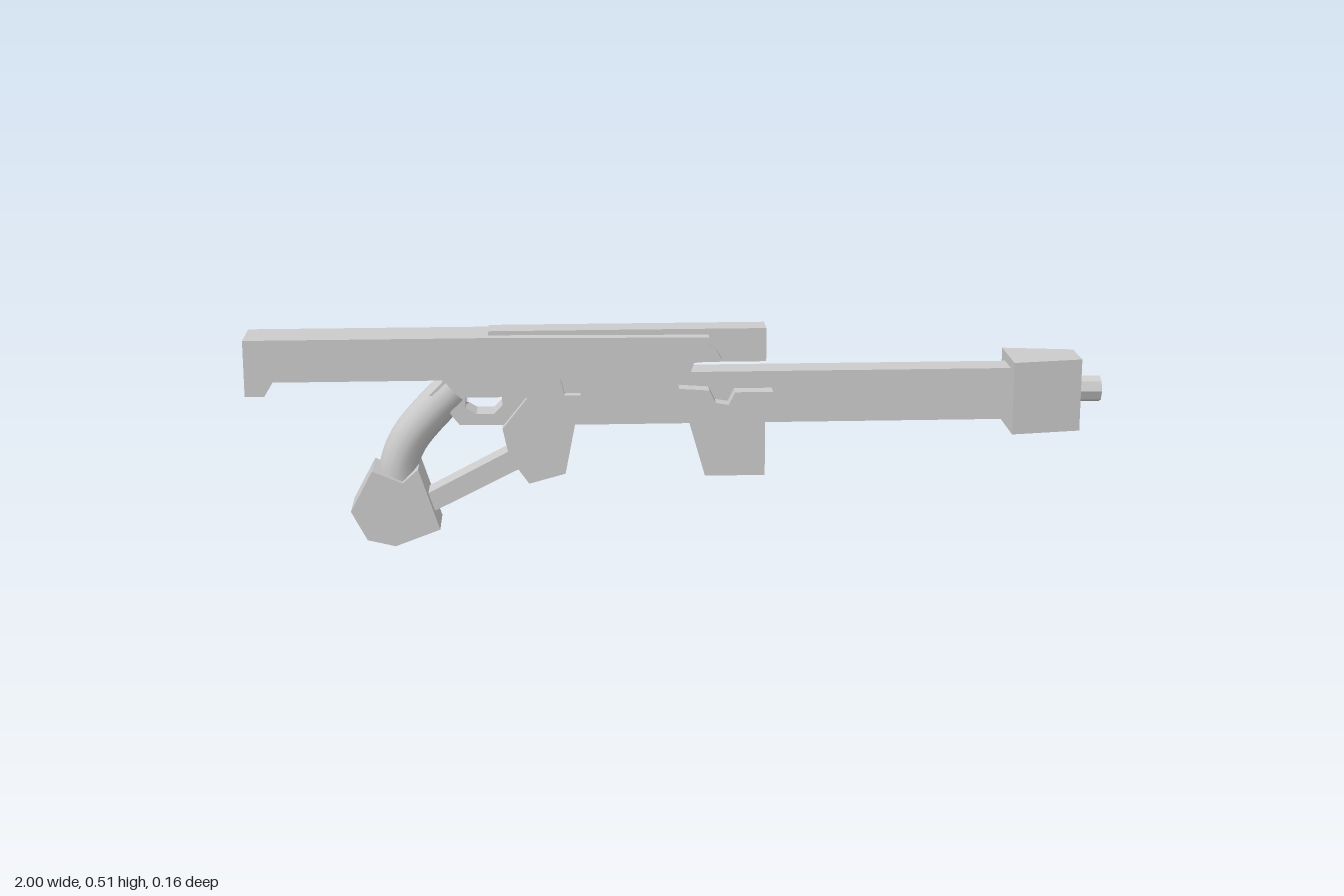
import * as THREE from 'three';

export function createModel() {
  const model = new THREE.Group();
  const flat = new THREE.MeshStandardMaterial({ color: 0xcccccc, flatShading: true });
  const smooth = new THREE.MeshStandardMaterial({ color: 0xcccccc });
  const open = new THREE.MeshStandardMaterial({ color: 0xcccccc, side: THREE.DoubleSide });

  const add = (name, geometry, material = flat) => {
    const mesh = new THREE.Mesh(geometry, material);
    mesh.name = name;
    model.add(mesh);
    return mesh;
  };
  const outline = (points) => points.map(([x, y]) => new THREE.Vector2(x, y));
  // Side profile extruded symmetrically across z
  const slab = (points, halfWidth, hole) => {
    const shape = new THREE.Shape(outline(points));
    if (hole) shape.holes.push(new THREE.Path(outline(hole)));
    const g = new THREE.ExtrudeGeometry(shape, { depth: halfWidth * 2, bevelEnabled: false });
    return g.translate(0, 0, -halfWidth);
  };
  const box = (x0, x1, y0, y1, halfWidth) =>
    new THREE.BoxGeometry(x1 - x0, y1 - y0, halfWidth * 2)
      .translate((x0 + x1) / 2, (y0 + y1) / 2, 0);

  // Shoulder stock with the butt hook
  add('stock', slab([
    [-1, 0.37], [-0.955, 0.37], [-0.935, 0.403], [-0.38, 0.403], [-0.38, 0.502], [-1, 0.502],
  ], 0.061));

  // Receiver housing with stepped lower edge and notched front
  add('receiver', slab([
    [-0.39, 0.36], [-0.345, 0.36], [-0.31, 0.39], [-0.27, 0.402], [-0.23, 0.38],
    [-0.02, 0.377], [0, 0.4], [0.025, 0.41], [0.035, 0.438], [0.1, 0.443],
    [0.09, 0.462], [0.07, 0.48], [0.07, 0.498], [-0.39, 0.502],
  ], 0.064));
  add('topRail', box(-0.44, 0.205, 0.433, 0.512, 0.034));

  // Barrel, tapered muzzle block and hollow tip
  add('barrel', box(-0.4, 0.79, 0.287, 0.41, 0.037));
  const muzzle = new THREE.ExtrudeGeometry(
    new THREE.Shape(outline([[0.78, -0.079], [0.945, -0.052], [0.945, 0.052], [0.78, 0.079]])),
    { depth: 0.172, bevelEnabled: false });
  add('muzzle', muzzle.rotateX(-Math.PI / 2).translate(0, 0.26, 0));
  const tip = new THREE.LatheGeometry(
    outline([[0.031, 0], [0.031, 0.06], [0.026, 0.06], [0.026, 0.005], [0, 0.005]]), 8);
  add('muzzleTip', tip.rotateZ(-Math.PI / 2).translate(0.94, 0.349, 0),
    new THREE.MeshStandardMaterial({ color: 0xcccccc, flatShading: true, side: THREE.DoubleSide }));

  // Foregrip block under the barrel
  add('foregrip', slab([
    [0, 0.38], [0.06, 0.17], [0.2, 0.17], [0.2, 0.337], [0.218, 0.37],
    [0.13, 0.37], [0.115, 0.34], [0.085, 0.345], [0.07, 0.375],
  ], 0.077));

  // Magazine housing
  add('magazine', slab([
    [-0.41, 0.285], [-0.395, 0.215], [-0.35, 0.152], [-0.265, 0.175],
    [-0.228, 0.363], [-0.265, 0.363], [-0.275, 0.402], [-0.31, 0.39], [-0.35, 0.36],
  ], 0.06));

  // Trigger frame around a small opening
  add('triggerFrame', slab([
    [-0.58, 0.36], [-0.53, 0.36], [-0.53, 0.315], [-0.51, 0.29], [-0.36, 0.287],
    [-0.36, 0.41], [-0.54, 0.41], [-0.55, 0.39],
  ], 0.035, [
    [-0.495, 0.355], [-0.41, 0.355], [-0.41, 0.335], [-0.43, 0.315], [-0.47, 0.315], [-0.495, 0.33],
  ]));

  // Curved rear grip
  const curve = new THREE.CatmullRomCurve3([
    [-0.52, 0.37], [-0.57, 0.322], [-0.63, 0.25], [-0.655, 0.19], [-0.66, 0.13],
  ].map(([x, y]) => new THREE.Vector3(x, y, 0)));
  add('grip', new THREE.TubeGeometry(curve, 12, 0.046, 14), open);

  // Faceted block at the end of the grip
  add('pommel', slab([
    [-0.715, 0.187], [-0.767, 0.09], [-0.73, 0.02], [-0.665, 0.004],
    [-0.56, 0.043], [-0.608, 0.19], [-0.645, 0.157],
  ], 0.06));

  // Brace from pommel to magazine
  add('brace', slab([
    [-0.6, 0.072], [-0.565, 0.085], [-0.36, 0.187], [-0.36, 0.235], [-0.4, 0.222], [-0.6, 0.118],
  ], 0.033));

  return model;
}
